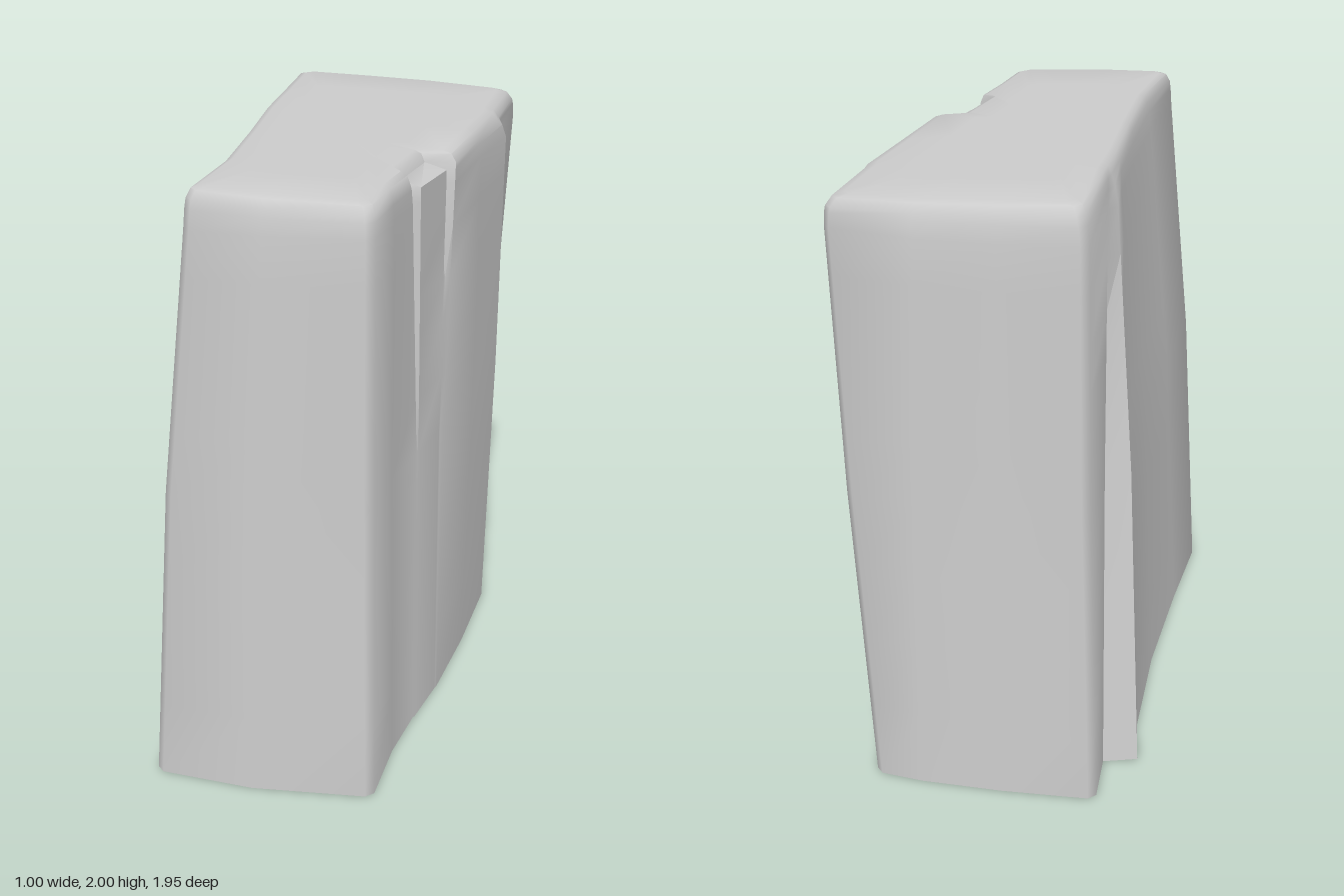
import * as THREE from 'three';
import { toCreasedNormals } from 'three/addons/utils/BufferGeometryUtils.js';

// Cross-sections as [x, z], running from the front right corner round the back to the front.
const base = [[.30, .95], [.31, .65], [.34, .41], [.343, .405], [.345, .40], [.38, .19], [.382, .18], [.385, .17],
  [.42, -.2], [.44, -.60], [.33, -.65], [.34, -.95], [.17, -.97], [-.1, -.97], [-.41, -.95], [-.39, -.72],
  [-.50, -.68], [-.46, -.47], [-.43, 0], [-.43, .5], [-.44, .93], [-.1, .975]];
const middle = [[.285, .91], [.30, .65], [.34, .41], [.343, .405], [.345, .40], [.38, .19], [.382, .18], [.39, .17],
  [.44, -.2], [.475, -.56], [.42, -.60], [.42, -.92], [.18, -.94], [-.1, -.94], [-.375, -.92], [-.36, -.60],
  [-.44, -.56], [-.42, -.40], [-.385, 0], [-.38, .5], [-.39, .91], [-.1, .935]];
const shoulder = [[.28, .885], [.30, .65], [.325, .46], [.335, .44], [.345, .425], [.39, .19], [.395, .18], [.415, .165],
  [.45, -.2], [.497, -.50], [.465, -.525], [.48, -.87], [.18, -.92], [-.08, -.92], [-.36, -.90], [-.34, -.50],
  [-.365, -.46], [-.345, -.3], [-.32, .05], [-.30, .5], [-.315, .885], [-.06, .905]];
const rim = [[.275, .87], [.295, .65], [.32, .475], [.275, .44], [.28, .425], [.315, .19], [.315, .18], [.415, .15],
  [.445, -.2], [.47, -.48], [.465, -.53], [.475, -.865], [.18, -.90], [-.08, -.90], [-.345, -.89], [-.335, -.48],
  [-.335, -.42], [-.33, -.25], [-.305, .1], [-.285, .5], [-.31, .87], [-.06, .89]];

const CORNERS = [0, 11, 14, 20];
const CRACKS = { 3: { start: 1.0, depth: .06 }, 6: { start: 1.55, depth: .07 } };
const CHUNK = [3, 4, 5, 6];

const mix = (a, b, t) => a.map((p, i) => [p[0] + (b[i][0] - p[0]) * t, p[1] + (b[i][1] - p[1]) * t]);

// Cut the tapering cracks into the right side
function cutCracks(loop, y) {
  return loop.map((p, i) => {
    const c = CRACKS[i];
    if (!c) return p;
    return [p[0] - c.depth * THREE.MathUtils.clamp((y - c.start) / (1.9 - c.start), 0, 1), p[1]];
  });
}

// Replace each of the four main corners by a narrow bevel
function bevelCorners(loop, size = .025) {
  const n = loop.length;
  return loop.flatMap((p, i) => {
    if (!CORNERS.includes(i)) return [p];
    return [loop[(i + n - 1) % n], loop[(i + 1) % n]].map((q) => {
      const t = size / Math.hypot(q[0] - p[0], q[1] - p[1]);
      return [p[0] + (q[0] - p[0]) * t, p[1] + (q[1] - p[1]) * t];
    });
  });
}

function rockGeometry() {
  const rings = [];
  const addRing = (loop, y, tilt = 0) =>
    rings.push(bevelCorners(loop).map(([x, z]) => [x, y - tilt * x, z]));

  // Walls
  for (const y of [0, .25, .5, .75, 1]) addRing(mix(base, middle, y), y);
  for (const y of [1.2, 1.4, 1.55, 1.72, 1.87]) {
    addRing(cutCracks(mix(middle, shoulder, (y - 1) / .87), y), y);
  }
  // The loose chunk keeps its width to its own lower top
  const cut = cutCracks(shoulder, 1.9);
  addRing(mix(cut, rim, .5).map((p, i) => (CHUNK.includes(i) ? cut[i] : p)), 1.925, .02);
  // Rounded rim and sloping top
  addRing(rim, 1.95, .04);
  addRing(rim.map(([x, z]) => [x * .96, z * .985]), 1.978, .04);
  addRing(rim.map(([x, z]) => [x * .89, z * .96]), 1.987, .04);
  addRing(rim.map(([x, z]) => [x * .6, z * .7]), 1.988, .04);

  const n = rings[0].length;
  const index = [];
  for (let r = 0; r < rings.length - 1; r++) {
    for (let i = 0; i < n; i++) {
      const j = (i + 1) % n;
      const a = r * n + i, b = r * n + j, c = a + n, d = b + n;
      index.push(a, b, d, a, d, c);
    }
  }
  const centre = rings.length * n;
  for (let i = 0; i < n; i++) index.push(centre, centre - n + i, centre - n + (i + 1) % n);

  const geometry = new THREE.BufferGeometry();
  const points = [...rings.flat(), [0, 1.988, 0]];
  geometry.setAttribute('position', new THREE.Float32BufferAttribute(points.flat(), 3));
  geometry.setIndex(index);
  return toCreasedNormals(geometry, 0.87);
}

export function createModel() {
  const group = new THREE.Group();
  group.name = 'rock';
  // Open at the bottom
  const material = new THREE.MeshStandardMaterial({ color: 0xcccccc, side: THREE.DoubleSide });
  const body = new THREE.Mesh(rockGeometry(), material);
  body.name = 'rockBody';
  group.add(body);
  return group;
}
